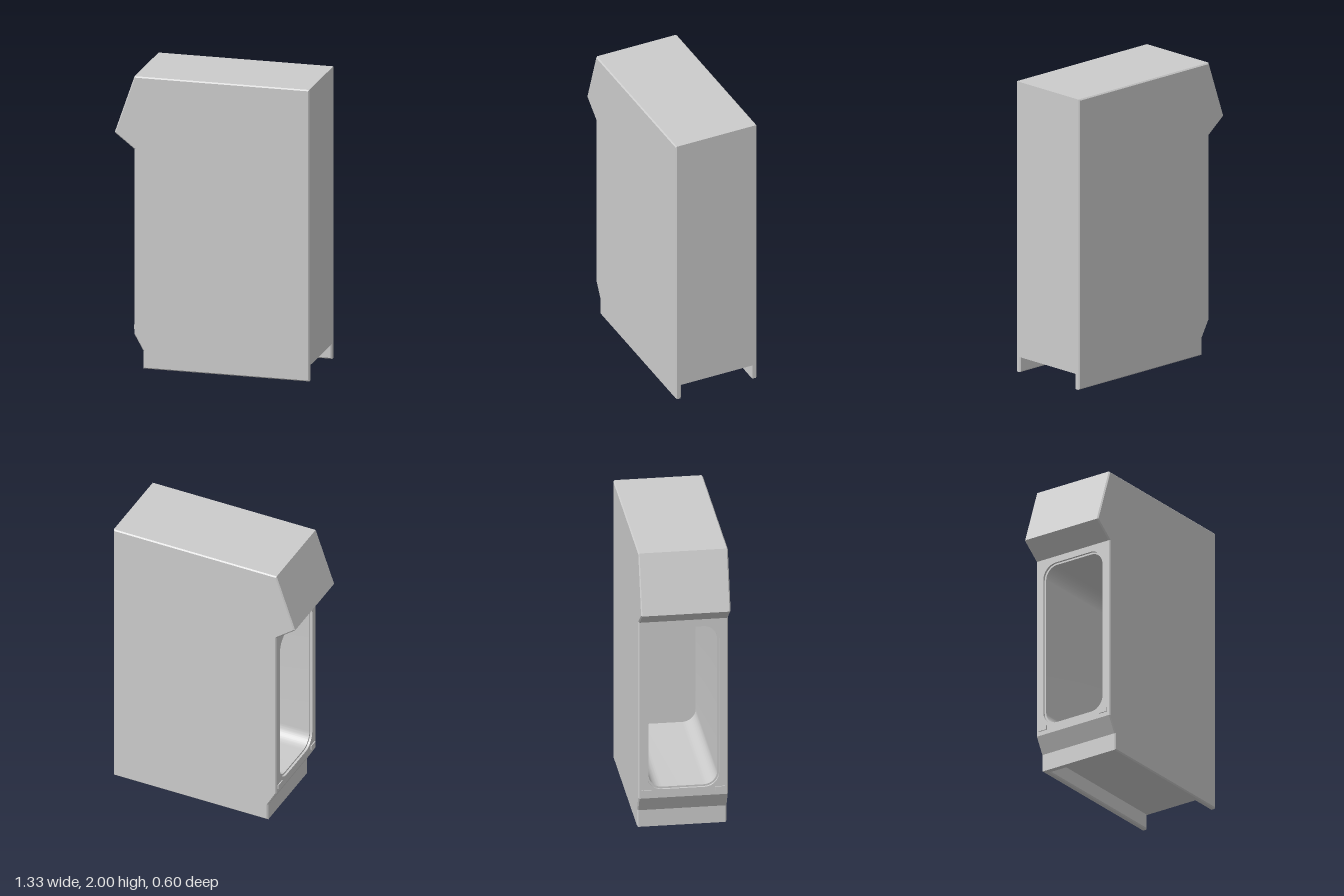
import * as THREE from 'three';
import { toCreasedNormals } from 'three/addons/utils/BufferGeometryUtils.js';

const HALF = 0.298;   // half width of the cabinet
const INNER = 0.257;  // inner face of the side panels
const CORE = 0.268;   // core runs slightly into the panels
const BACK = 0.665, FRONT = -0.531;
const BEVEL = 0.008;

const toShape = pts => new THREE.Shape(pts.map(p => new THREE.Vector2(...p)));

function roundedRect(target, hw, y0, y1, r) {
  target.moveTo(-hw + r, y0);
  target.lineTo(hw - r, y0);
  target.absarc(hw - r, y0 + r, r, -Math.PI / 2, 0, false);
  target.lineTo(hw, y1 - r);
  target.absarc(hw - r, y1 - r, r, 0, Math.PI / 2, false);
  target.lineTo(-hw + r, y1);
  target.absarc(-hw + r, y1 - r, r, Math.PI / 2, Math.PI, false);
  target.lineTo(-hw, y0 + r);
  target.absarc(-hw + r, y0 + r, r, Math.PI, Math.PI * 1.5, false);
  return target;
}

export function createModel() {
  const group = new THREE.Group();
  const material = new THREE.MeshStandardMaterial({ color: 0xcccccc });

  function add(name, geometry, x = 0, y = 0, z = 0) {
    const mesh = new THREE.Mesh(geometry, material);
    mesh.name = name;
    mesh.position.set(x, y, z);
    group.add(mesh);
  }

  // Side panels: the full outline with a fine edge bevel
  const outline = toShape([
    [-0.469, 0], [BACK, 0], [BACK, 2], [-0.531, 2],
    [-0.667, 1.605], [FRONT, 1.5], [FRONT, 0.23], [-0.469, 0.12],
  ]);
  const panel = new THREE.ExtrudeGeometry(outline, {
    depth: HALF - INNER - 2 * BEVEL, bevelEnabled: true, bevelSegments: 1,
    bevelThickness: BEVEL, bevelSize: BEVEL, bevelOffset: -BEVEL,
  });
  add('leftSidePanel', panel, 0, 0, INNER + BEVEL);
  add('rightSidePanel', panel, 0, 0, -HALF + BEVEL);

  // Blocks between the panels, drawn as outlines in the side plane
  const across = (pts, half) => new THREE.ExtrudeGeometry(toShape(pts),
    { depth: 2 * half, bevelEnabled: false }).translate(0, 0, -half);
  add('topAndHood', across([
    [FRONT, 1.5], [BACK, 1.5], [BACK, 2], [-0.531, 2], [-0.667, 1.605],
  ], CORE));
  // Base has a recess below that is open at the back
  add('base', across([
    [-0.469, 0], [-0.432, 0], [-0.432, 0.105], [BACK, 0.105],
    [BACK, 0.23], [FRONT, 0.23], [-0.469, 0.12],
  ], CORE));

  // Hollow bay with rounded corners, running into the cabinet
  function ring(hw, y0, y1, r, depth) {
    const shape = toShape([[-CORE, 0.23], [CORE, 0.23], [CORE, 1.5], [-CORE, 1.5]]);
    shape.holes.push(roundedRect(new THREE.Path(), hw, y0, y1, r));
    const geometry = new THREE.ExtrudeGeometry(shape,
      { depth, bevelEnabled: false, curveSegments: 12 });
    return toCreasedNormals(geometry.rotateY(Math.PI / 2), 0.6);
  }
  const lip = 0.015, bayEnd = 0.5;
  add('openingFrame', ring(0.24, 0.29, 1.455, 0.1, lip), FRONT);
  add('bayLining', ring(0.228, 0.302, 1.443, 0.09, bayEnd - FRONT - lip), FRONT + lip);
  add('backBlock', new THREE.BoxGeometry(BACK - bayEnd, 1.27, 2 * CORE),
    (BACK + bayEnd) / 2, 0.865, 0);

  // Small tabs below the opening
  for (const side of [-1, 1]) {
    add(side > 0 ? 'leftTab' : 'rightTab',
      new THREE.BoxGeometry(0.012, 0.03, 0.065), FRONT - 0.001, 0.275, side * 0.245);
  }
  return group;
}
